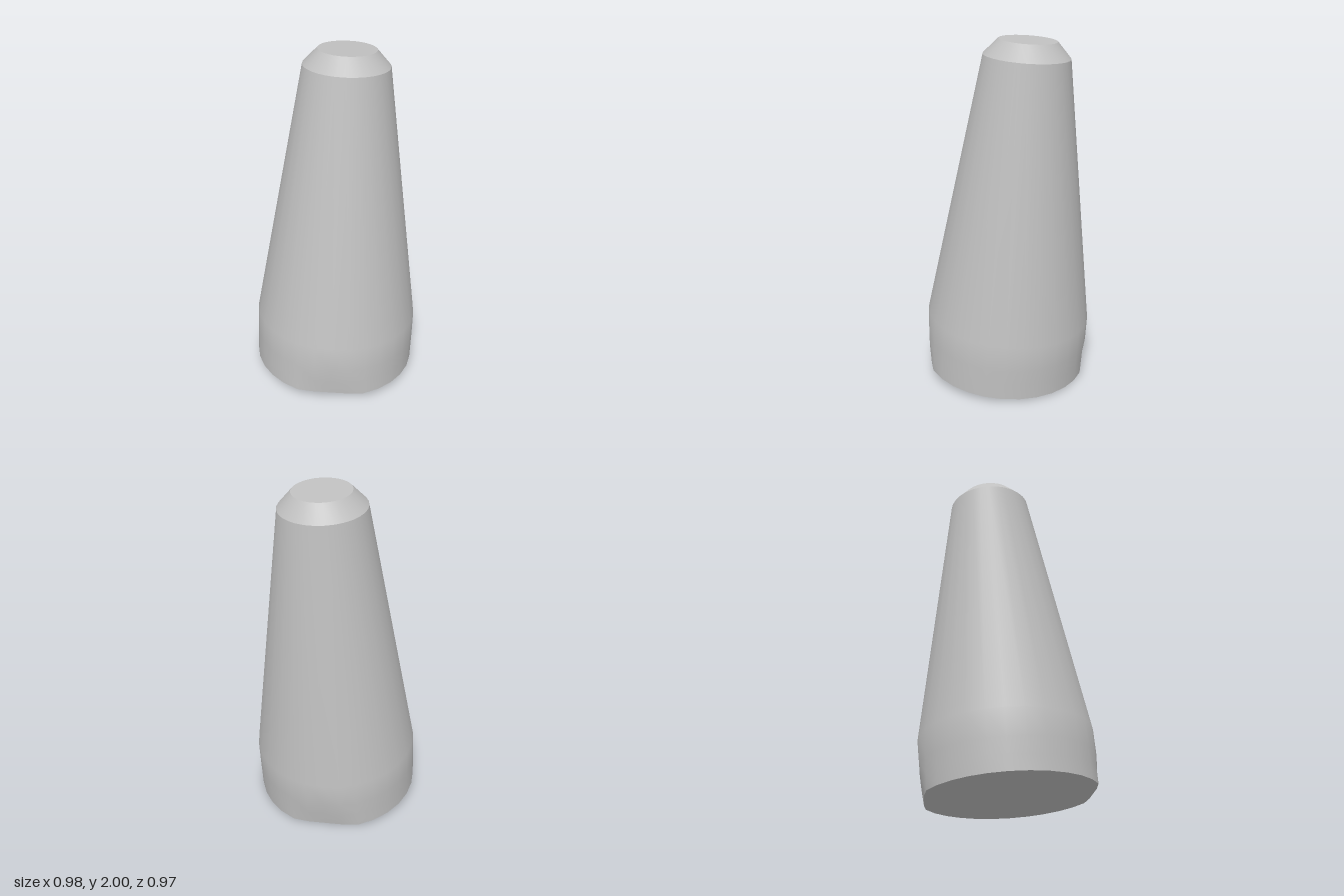
import * as THREE from 'three';
import { mergeVertices } from 'three/addons/utils/BufferGeometryUtils.js';

const SIDES = 30;
const HEIGHT = 1.96;
const BASE_R = 0.487, BEND_R = 0.485, SHOULDER_R = 0.243, TIP_R = 0.163;
const BEND_Y = 0.33, SHOULDER_Y = 1.873;

// Press shallow flats into the front and back of the foot, fading out upwards.
function pressFlats(geometry) {
  const p = geometry.attributes.position;
  for (let i = 0; i < p.count; i++) {
    const fade = Math.max(0, 1 - p.getY(i) / BEND_Y);
    const limit = BASE_R - 0.031 * Math.pow(fade, 1.5);
    if (fade > 0) p.setZ(i, THREE.MathUtils.clamp(p.getZ(i), -limit, limit));
  }
}

// Surface of revolution with smooth, seamless normals.
function turned(name, profile, material) {
  let geometry = new THREE.LatheGeometry(profile.map(([r, y]) => new THREE.Vector2(r, y)), SIDES);
  pressFlats(geometry);
  geometry.deleteAttribute('normal');
  geometry.deleteAttribute('uv');
  geometry = mergeVertices(geometry, 1e-5);
  geometry.computeVertexNormals();
  const mesh = new THREE.Mesh(geometry, material);
  mesh.name = name;
  return mesh;
}

export function createModel() {
  const grey = new THREE.MeshStandardMaterial({ color: 0xc0c0c0 });
  grey.name = 'grey';

  const peg = new THREE.Group();
  peg.name = 'taperedPeg';
  peg.add(
    turned('bottomFace', [[0, 0], [BASE_R, 0]], grey),
    turned('body', [
      [BASE_R, 0], [BASE_R, 0.09], [BASE_R, 0.18], [BEND_R, BEND_Y], [SHOULDER_R, SHOULDER_Y],
    ], grey),
    turned('bevel', [[SHOULDER_R, SHOULDER_Y], [TIP_R, HEIGHT]], grey),
    turned('topFace', [[TIP_R, HEIGHT], [0, HEIGHT]], grey),
  );

  // The whole peg leans a little to its left and backwards.
  const axis = new THREE.Vector3(0.033, 1, -0.064).normalize();
  peg.quaternion.setFromUnitVectors(new THREE.Vector3(0, 1, 0), axis);
  peg.position.set(-0.004, 0.034, 0.014);

  const model = new THREE.Group();
  model.name = 'model';
  model.add(peg);
  return model;
}
